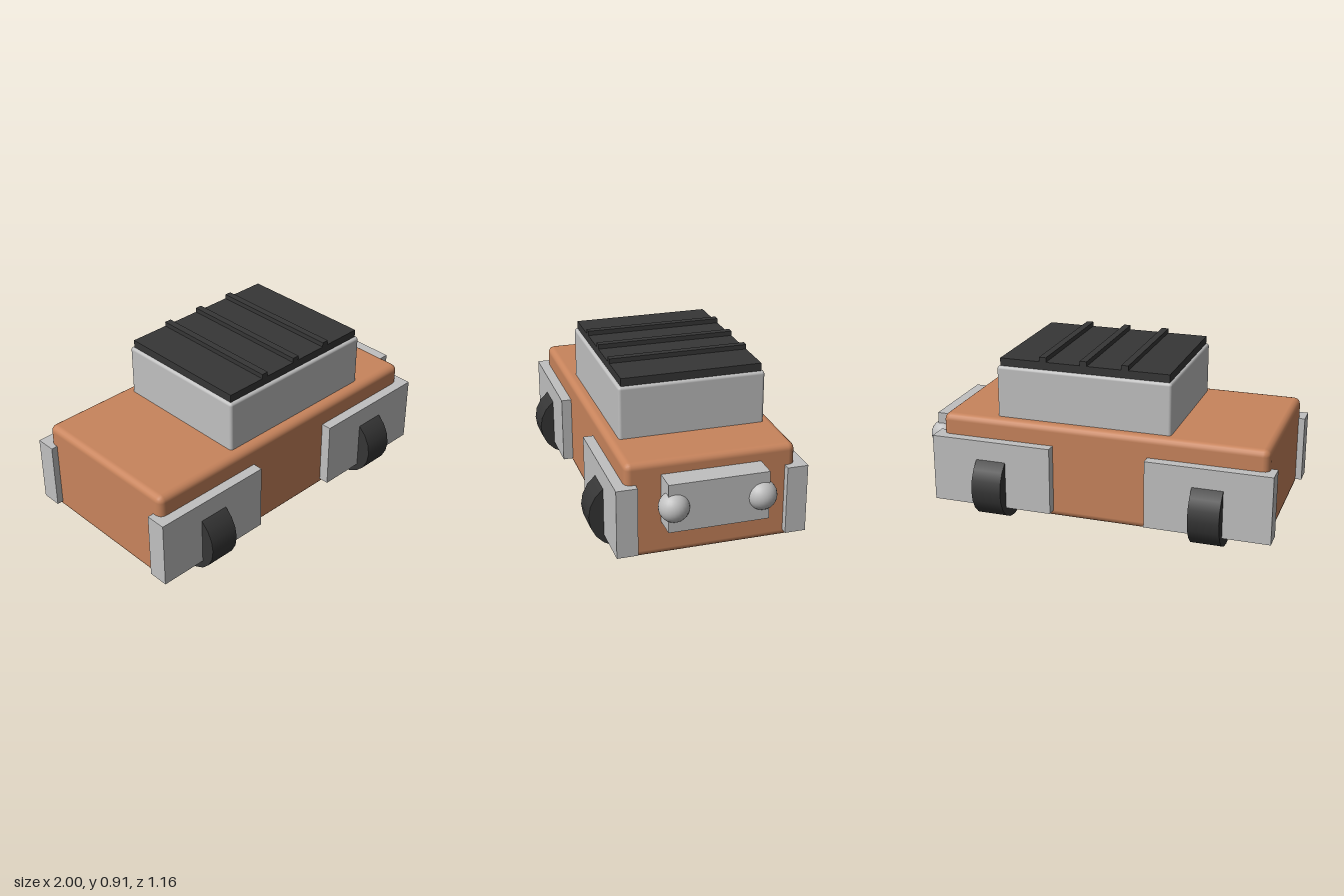
import * as THREE from 'three';
import { RoundedBoxGeometry } from 'three/addons/geometries/RoundedBoxGeometry.js';

const material = (name, color) => {
  const m = new THREE.MeshStandardMaterial({ color });
  m.name = name;
  return m;
};

export function createModel() {
  const model = new THREE.Group();
  model.name = 'vehicle';
  const copper = material('copper', 0xc8845c);
  const silver = material('silver', 0xc0c0c0);
  const charcoal = material('charcoal', 0x363636);

  const add = (name, geometry, mat, x, y, z) => {
    const mesh = new THREE.Mesh(geometry, mat);
    mesh.name = name;
    mesh.position.set(x, y, z);
    model.add(mesh);
    return mesh;
  };

  // Box given by its lower and upper corners, with optional rounded edges
  const block = (name, mat, [x0, y0, z0], [x1, y1, z1], radius = 0) => {
    const size = [x1 - x0, y1 - y0, z1 - z0];
    const geometry = radius
      ? new RoundedBoxGeometry(...size, 2, radius)
      : new THREE.BoxGeometry(...size);
    return add(name, geometry, mat, (x0 + x1) / 2, (y0 + y1) / 2, (z0 + z1) / 2);
  };

  // Hull and cabin
  block('body', copper, [-0.965, 0.042, -0.445], [0.82, 0.56, 0.445], 0.036);
  block('cabin', silver, [-0.44, 0.5, -0.39], [0.52, 0.84, 0.39], 0.016);

  // Roof plate with three cross ribs
  block('roof', charcoal, [-0.425, 0.835, -0.373], [0.505, 0.882, 0.373]);
  for (const x of [-0.185, 0.04, 0.265]) {
    block('roofRib', charcoal, [x - 0.019, 0.88, -0.373], [x + 0.019, 0.907, 0.373]);
  }

  // Nose block and round lamps
  block('bumper', silver, [0.8, 0.23, -0.261], [0.945, 0.488, 0.261]);
  for (const side of [-1, 1]) {
    add('headlight', new THREE.SphereGeometry(0.078, 24, 16), silver, 0.922, 0.358, side * 0.227);
  }

  // Fenders and wheels at the four corners
  const wheel = new THREE.CylinderGeometry(0.188, 0.188, 0.165, 20);
  wheel.rotateZ(Math.PI / 2);
  for (const side of [-1, 1]) {
    for (const x of [-0.665, 0.525]) {
      block('fender', silver, [x - 0.335, 0.08, side * 0.445 - 0.055],
        [x + 0.335, 0.448, side * 0.445 + 0.055]);
      add('wheel', wheel, charcoal, x, 0.188, side * 0.39);
    }
  }
  return model;
}
